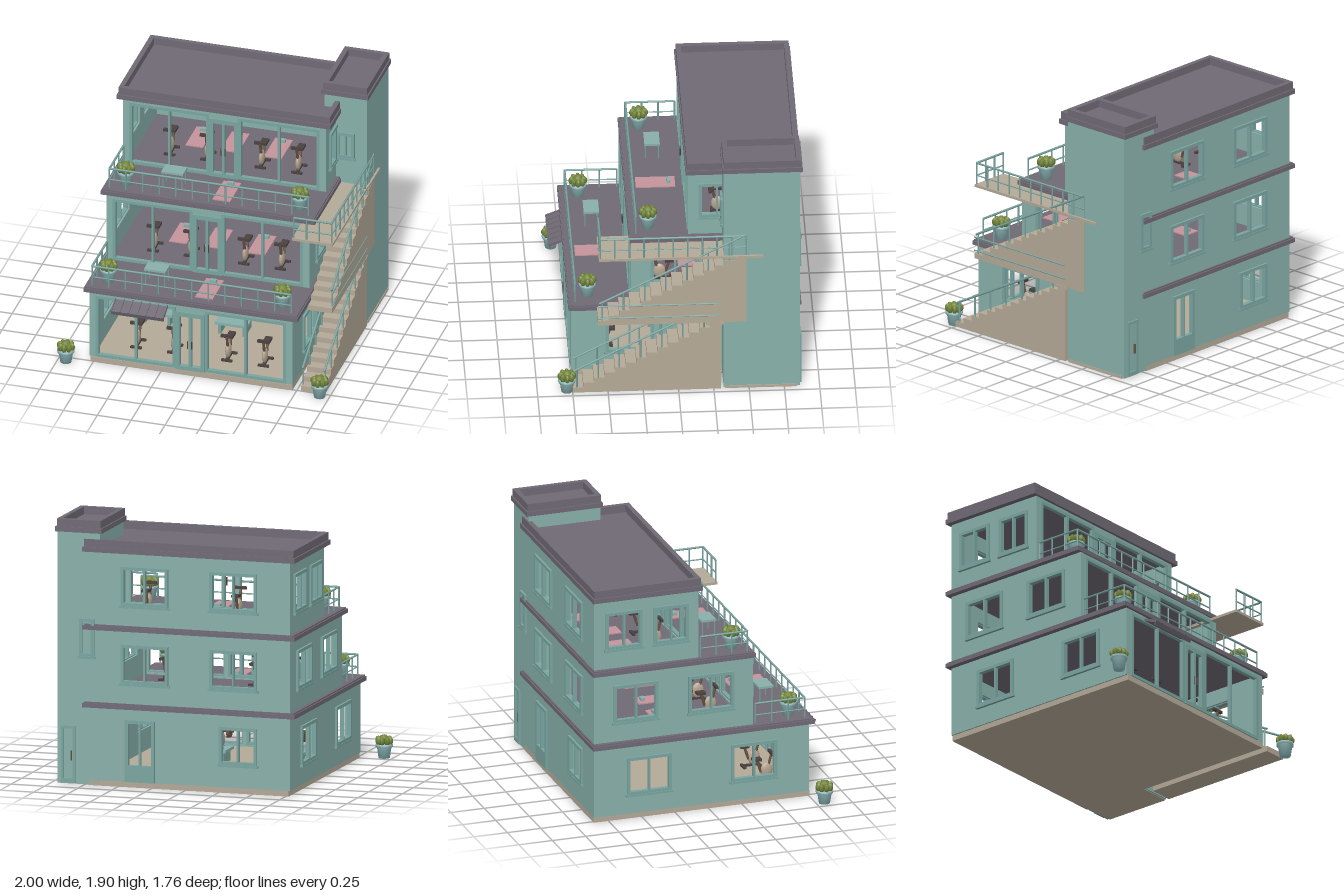
import * as THREE from 'three';

const mat = (name, color) => {
  const m = new THREE.MeshStandardMaterial({ color });
  m.name = name;
  return m;
};

export function createModel() {
  const teal = mat('teal wall', 0x88b0aa), trim = mat('teal trim', 0x7aa5a0), grey = mat('slab grey', 0x6f6974);
  const tan = mat('stone tan', 0xb4a997), pink = mat('mat pink', 0xc4949b), green = mat('leaf green', 0x74863a);
  const pot = mat('pot blue', 0x8fb9bb), brown = mat('brown', 0x6b5345), dark = mat('dark grip', 0x4b423f);
  const soil = mat('body beige', 0xb5a48f);
  const model = new THREE.Group();
  model.name = 'steppedGymBuilding';

  const group = (name, parent = model) => {
    const g = new THREE.Group();
    g.name = name;
    parent.add(g);
    return g;
  };
  const add = (parent, name, geo, material, x = 0, y = 0, z = 0) => {
    const m = new THREE.Mesh(geo, material);
    m.name = name;
    m.position.set(x, y, z);
    parent.add(m);
    return m;
  };
  // Box given by its limits on each axis
  const box = (parent, name, material, x0, x1, y0, y1, z0, z1) =>
    add(parent, name, new THREE.BoxGeometry(x1 - x0, y1 - y0, z1 - z0), material,
      (x0 + x1) / 2, (y0 + y1) / 2, (z0 + z1) / 2);
  // Round bar between two points
  const rod = (parent, name, material, a, b, r = 0.006) => {
    const p = new THREE.Vector3(...a), d = new THREE.Vector3(...b).sub(p);
    const m = add(parent, name, new THREE.CylinderGeometry(r, r, d.length(), 6), material);
    m.position.copy(p).addScaledVector(d, 0.5);
    m.quaternion.setFromUnitVectors(new THREE.Vector3(0, 1, 0), d.normalize());
    return m;
  };
  // Upright panel with rectangular holes, facing x or z and filling at..at+depth
  const panel = (parent, name, material, axis, [u0, u1, y0, y1], holes, at, depth) => {
    const rect = (p, a, b, c, d) => p.moveTo(a, c).lineTo(b, c).lineTo(b, d).lineTo(a, d).closePath();
    const s = rect(new THREE.Shape(), u0, u1, y0, y1);
    for (const [a, b, c, d] of holes) s.holes.push(rect(new THREE.Path(), a, b, c, d));
    const m = add(parent, name, new THREE.ExtrudeGeometry(s, { depth, bevelEnabled: false }), material);
    if (axis === 'z') m.position.z = at;
    else { m.rotation.y = -Math.PI / 2; m.position.x = at + depth; }
    return m;
  };
  // Window frame with a centre bar and a sill
  const windowFrame = (parent, axis, [u0, u1, y0, y1], at, bars = 1) => {
    const g = group('windowFrame', parent), holes = [], w = (u1 - u0) / (bars + 1);
    for (let i = 0; i <= bars; i++) holes.push([u0 + i * w + 0.007, u0 + (i + 1) * w - 0.007, y0 + 0.007, y1 - 0.007]);
    panel(g, 'frame', trim, axis, [u0 - 0.016, u1 + 0.016, y0 - 0.016, y1 + 0.016], holes, at - 0.016, 0.032);
    panel(g, 'sill', trim, axis, [u0 - 0.025, u1 + 0.025, y0 - 0.03, y0 - 0.014], [], at - 0.02, 0.04);
  };

  // Ground floor slab and tower plinth
  box(model, 'groundFloor', tan, -0.77, 0.72, 0, 0.04, -0.86, 0.755);
  box(model, 'towerPlinth', tan, 0.66, 0.955, 0, 0.02, -0.84, -0.33);

  // Exercise bike
  const bike = (parent, x, y, z) => {
    const g = group('exerciseBike', parent);
    box(g, 'foot', dark, -0.04, 0.04, 0, 0.015, 0.05, 0.07);
    box(g, 'foot', dark, -0.04, 0.04, 0, 0.015, -0.07, -0.05);
    box(g, 'rail', dark, -0.01, 0.01, 0.005, 0.02, -0.06, 0.06);
    add(g, 'body', new THREE.SphereGeometry(0.05, 12, 8), soil, 0, 0.07, 0.02).scale.set(0.4, 1.15, 0.9);
    rod(g, 'handlePost', brown, [0, 0.08, 0.03], [0, 0.2, 0.06], 0.01);
    rod(g, 'seatPost', brown, [0, 0.06, -0.02], [0, 0.15, -0.05], 0.01);
    box(g, 'handlebar', dark, -0.045, 0.045, 0.19, 0.21, 0.045, 0.065);
    box(g, 'seat', dark, -0.025, 0.025, 0.15, 0.168, -0.085, -0.02);
    g.position.set(x, y, z);
  };
  const yogaMat = (parent, x, y, z) => {
    box(parent, 'mat', pink, x - 0.065, x + 0.065, y, y + 0.008, z - 0.14, z + 0.14);
    box(parent, 'matBlock', teal, x - 0.024, x + 0.024, y, y + 0.03, z - 0.11, z - 0.08);
  };

  // Three storeys, each set back from the one below
  const fronts = [0.75, 0.33, -0.08];
  const sideWindows = [
    [[-0.6, -0.3], [0.18, 0.49]], [[-0.7, -0.4], [-0.14, 0.17]], [[-0.76, -0.52], [-0.4, -0.17]]];
  fronts.forEach((front, i) => {
    const b = 0.04 + 0.56 * i, top = b + 0.52, g = group('storey' + (i + 1));
    const wy = [b + 0.16, b + 0.41];
    const bay = [[-0.72, -0.155], [0.085, 0.66]].map(([a, c]) => [a, c, b + 0.015, b + 0.485]);
    const door = [-0.13, 0.06, b + 0.008, b + 0.45];
    panel(g, 'frontWall', teal, 'z', [-0.78, 0.72, b, top], [...bay, door], front - 0.03, 0.03);
    for (const [a, c, d, e] of bay) {
      const mid = (a + c) / 2;
      panel(g, 'bayFrame', trim, 'z', [a - 0.012, c + 0.012, d - 0.01, e + 0.012],
        [[a + 0.01, mid - 0.009, d + 0.012, e - 0.01], [mid + 0.009, c - 0.01, d + 0.012, e - 0.01]], front - 0.022, 0.03);
    }
    panel(g, 'doorFrame', trim, 'z', [-0.142, 0.072, b + 0.001, b + 0.465],
      [[-0.112, -0.045, b + 0.03, b + 0.43], [-0.025, 0.042, b + 0.03, b + 0.43]], front - 0.022, 0.034);
    for (const x of [-0.05, -0.02]) rod(g, 'doorHandle', dark, [x, b + 0.18, front + 0.018], [x, b + 0.24, front + 0.018], 0.004);

    // Back wall openings
    const back = i ? [[-0.52, -0.2, ...wy], [0.14, 0.46, ...wy]] : [[-0.52, -0.27, b + 0.18, b + 0.42], [0.24, 0.43, b + 0.01, b + 0.43]];
    panel(g, 'backWall', teal, 'z', [-0.78, 0.72, b, top], back, -0.86, 0.03);
    back.forEach((w, k) => {
      if (i || !k) windowFrame(g, 'z', w, -0.86);
      else panel(g, 'backDoorFrame', trim, 'z', [0.225, 0.445, b, b + 0.445],
        [[0.25, 0.328, b + 0.12, b + 0.42], [0.342, 0.42, b + 0.12, b + 0.42]], -0.876, 0.03);
    });

    // Side walls; the tower hides the rear half on one side
    const sides = sideWindows[i].map(([a, c]) => [a, c, ...wy]);
    panel(g, 'leftSideWall', teal, 'x', [-0.86, front, b, top], sides, -0.78, 0.03);
    panel(g, 'rightSideWall', teal, 'x', [-0.86, front, b, top], [sides[1]], 0.69, 0.03);
    for (const w of sides) windowFrame(g, 'x', w, -0.78);
    windowFrame(g, 'x', sides[1], 0.72);

    // Slab above, doubling as the terrace
    const slabFront = [0.77, 0.34, -0.06][i];
    box(g, 'slab', grey, -0.82, 0.76, top, top + 0.03, -0.88, slabFront);
    if (i < 2) box(g, 'slabTop', grey, -0.81, 0.75, top + 0.03, top + 0.04, -0.87, slabFront - 0.008);

    // Equipment
    for (const x of [-0.49, -0.22, 0.18, 0.45]) bike(g, x, b + 0.01, front - 0.24);
    if (i) for (const x of [-0.36, -0.1, 0.22]) yogaMat(g, x, b + 0.002, front - 0.5);
  });

  // Weight benches with barbells
  for (const x of [-0.455, 0.1]) {
    const g = group('weightBench');
    box(g, 'pad', teal, x - 0.12, x + 0.12, 0.12, 0.14, 0, 0.2);
    for (const s of [-1, 1]) {
      box(g, 'leg', trim, x + s * 0.09 - 0.01, x + s * 0.09 + 0.01, 0.04, 0.12, 0.02, 0.18);
      rod(g, 'stand', trim, [x + s * 0.09, 0.04, 0.02], [x + s * 0.09, 0.27, 0.02], 0.007);
      rod(g, 'weight', brown, [x + s * 0.13, 0.275, 0.02], [x + s * 0.155, 0.275, 0.02], 0.045);
    }
    rod(g, 'bar', dark, [x - 0.175, 0.275, 0.02], [x + 0.175, 0.275, 0.02]);
  }

  // Stair tower
  const tower = group('stairTower');
  box(tower, 'towerWalls', teal, 0.635, 0.95, 0.005, 1.82, -0.86, -0.32);
  for (const y of [0.85, 1.34]) windowFrame(tower, 'z', [0.745, 0.845, y, y + 0.17], -0.32);
  windowFrame(tower, 'z', [0.69, 0.77, 0.94, 1.18], -0.86, 0);
  panel(tower, 'towerDoor', trim, 'z', [0.815, 0.92, 0.01, 0.42], [[0.835, 0.9, 0.04, 0.4]], -0.872, 0.02);
  box(tower, 'towerDoorHandle', brown, 0.84, 0.85, 0.17, 0.24, -0.872, -0.86);

  // Parapet: wide lower band, narrower upper rim, sunken roof
  const parapet = (name, x0, x1, y, z0, z1) => {
    const g = group(name), s = 0.01, t = 0.045;
    box(g, 'band', grey, x0, x1, y, y + 0.035, z0, z1);
    box(g, 'frontRim', grey, x0 + s, x1 - s, y + 0.03, y + 0.09, z1 - t, z1 - s);
    box(g, 'backRim', grey, x0 + s, x1 - s, y + 0.03, y + 0.09, z0 + s, z0 + t);
    box(g, 'leftRim', grey, x0 + s, x0 + t, y + 0.03, y + 0.09, z0 + t, z1 - t);
    box(g, 'rightRim', grey, x1 - t, x1 - s, y + 0.03, y + 0.09, z0 + t, z1 - t);
  };
  parapet('mainRoof', -0.82, 0.76, 1.68, -0.88, -0.06);
  parapet('towerRoof', 0.615, 0.962, 1.815, -0.88, -0.31);

  // Two matching outside flights with sloping handrails
  for (let f = 0; f < 2; f++) {
    const g = group('stairFlight' + (f + 1)), y = 0.56 * f, z = 0.75 - 0.18 * f;
    for (let i = 0; i < 14; i++)
      box(g, 'step', tan, 0.78, 0.957, y, y + 0.04 * (i + 1), z - 0.075 * (i + 1), z - 0.075 * i);
    for (const x of [0.79, 0.95]) {
      if (x < 0.9 && f) continue;
      rod(g, 'handrail', trim, [x, y + 0.18, z - 0.01], [x, y + 0.73, z - 1.05], 0.008);
      for (let i = 0; i < 14; i += 2)
        rod(g, 'baluster', trim, [x, y + 0.04 * i, z - 0.075 * i - 0.03], [x, y + 0.19 + 0.04 * i, z - 0.075 * i - 0.03]);
    }
  }
  // Straight rails with posts
  const railing = (name, a, b, height, posts) => {
    const g = group(name), A = new THREE.Vector3(...a), B = new THREE.Vector3(...b);
    for (const k of [1, 0.42]) rod(g, 'rail', trim, [a[0], a[1] + height * k, a[2]], [b[0], b[1] + height * k, b[2]], k === 1 ? 0.008 : 0.005);
    for (let i = 0; i <= posts; i++) {
      const p = A.clone().lerp(B, i / posts);
      rod(g, 'post', trim, p.toArray(), [p.x, p.y + height, p.z]);
    }
  };
  // Landings
  box(model, 'lowerLanding', tan, 0.7, 0.96, 0.54, 0.56, -0.32, -0.2);
  box(model, 'upperLanding', tan, 0.66, 0.96, 1.1, 1.119, -0.32, 0.565);
  box(model, 'upperLandingEnd', tan, 0.94, 0.965, 1.1, 1.119, -0.6, -0.32);
  railing('landingRailing', [0.95, 1.12, 0.555], [0.95, 1.12, -0.48], 0.16, 10);
  railing('landingFrontRailing', [0.67, 1.12, 0.555], [0.95, 1.12, 0.555], 0.16, 3);
  for (const y of [0.62, 0.72]) rod(model, 'lowerLandingRail', trim, [0.957, y, 0.57], [0.957, y, -0.3]);

  // Planter with a ring of fat leaves
  const planter = (x, y, z) => {
    const g = group('planter');
    const profile = [[0, 0], [0.04, 0], [0.052, 0.08], [0.062, 0.08], [0.062, 0.1], [0.05, 0.1], [0, 0.09]];
    add(g, 'pot', new THREE.LatheGeometry(profile.map(p => new THREE.Vector2(...p)), 14), pot);
    for (let i = 0; i < 8; i++) {
      const a = i * Math.PI / 4, leaf = add(g, 'leaf', new THREE.SphereGeometry(0.024, 6, 5), green, Math.cos(a) * 0.042, 0.125, Math.sin(a) * 0.042);
      leaf.scale.set(1.05, 1.4, 0.75);
      leaf.rotation.y = -a;
    }
    add(g, 'centreLeaf', new THREE.SphereGeometry(0.035, 8, 6), green, 0, 0.135, 0);
    g.position.set(x, y, z);
  };
  planter(-0.937, 0, 0.81);
  planter(0.93, 0, 0.79);

  // Terrace furnishings
  [[0.6, 0.63, 0.72, 0.35], [1.16, 0.2, 0.29, -0.06]].forEach(([y, pz, rz, back]) => {
    railing('terraceRailing', [-0.77, y, rz], [0.7, y, rz], 0.15, 12);
    railing('terraceSideRailing', [-0.77, y, back], [-0.77, y, rz], 0.15, 3);
    planter(-0.675, y, pz);
    planter(0.61, y, pz);
    yogaMat(model, 0.047, y, pz - 0.08);
    const t = group('terraceTable');
    box(t, 'tableTop', teal, -0.42, -0.26, y + 0.11, y + 0.125, pz - 0.13, pz - 0.02);
    for (const x of [-0.41, -0.27]) for (const z of [pz - 0.12, pz - 0.03]) rod(t, 'leg', trim, [x, y, z], [x, y + 0.11, z], 0.005);
  });

  // Ribbed awning over the first bay
  const awning = group('awning');
  const sheet = box(awning, 'canopy', grey, -0.195, 0.195, -0.006, 0.006, 0, 0.12);
  sheet.position.z = 0.06;
  for (let i = 0; i <= 6; i++) box(awning, 'rib', grey, -0.195 + i * 0.0635, -0.187 + i * 0.0635, 0, 0.014, 0, 0.122);
  box(awning, 'valance', grey, -0.195, 0.195, -0.025, 0.008, 0.114, 0.122);
  awning.position.set(-0.395, 0.53, 0.75);
  awning.rotation.x = 0.38;
  return model;
}
